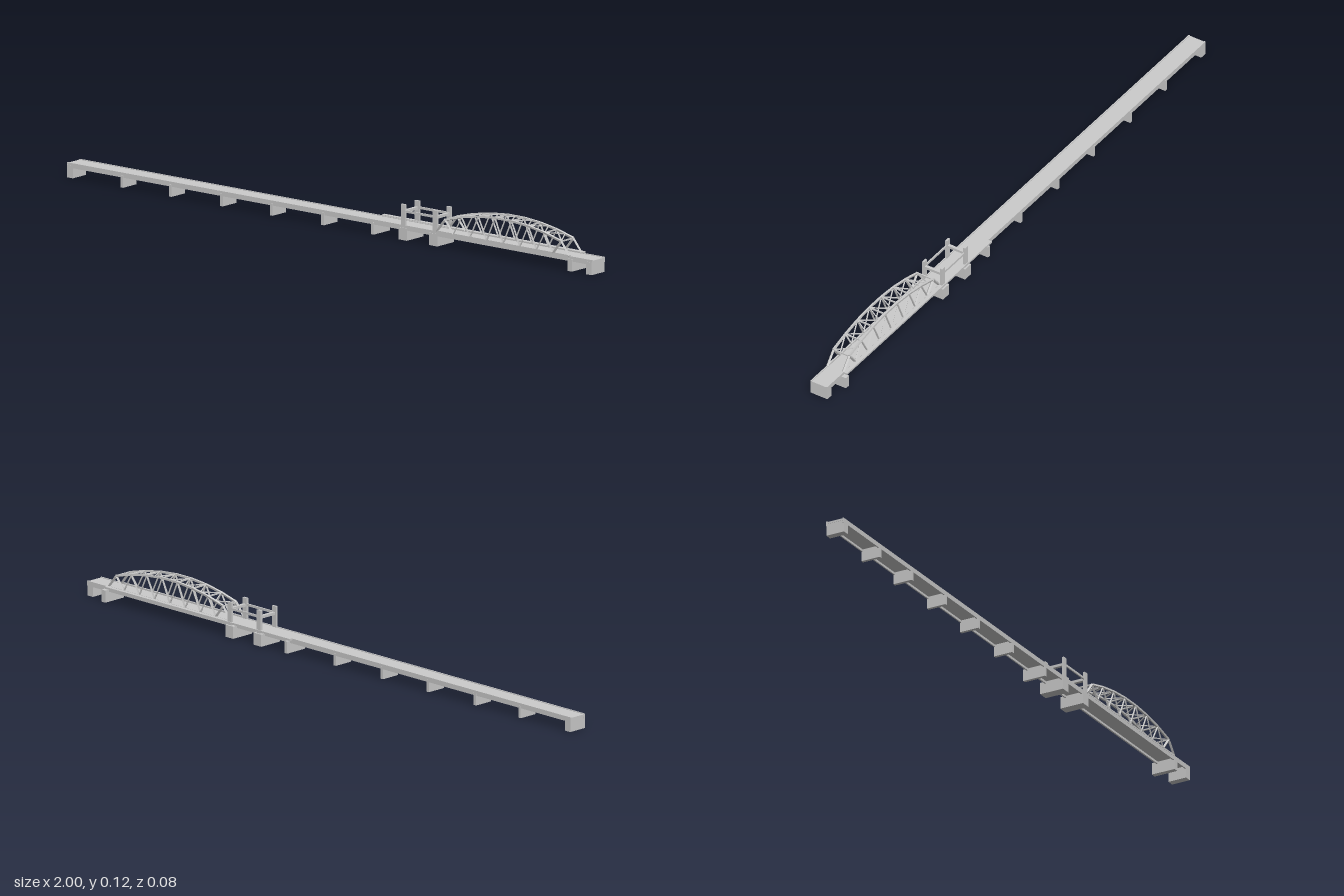
import * as THREE from 'three';

const mat = new THREE.MeshStandardMaterial({ color: 0xcccccc, flatShading: true });

// Box given by its low and high limits on each axis
function block(parent, name, [x0, x1], [y0, y1], [z0, z1]) {
  const m = new THREE.Mesh(new THREE.BoxGeometry(x1 - x0, y1 - y0, z1 - z0), mat);
  m.position.set((x0 + x1) / 2, (y0 + y1) / 2, (z0 + z1) / 2);
  m.name = name;
  parent.add(m);
}

// Square steel member between two points
function member(parent, name, a, b, t) {
  const d = b.clone().sub(a);
  const m = new THREE.Mesh(new THREE.BoxGeometry(t, t, d.length()), mat);
  m.position.copy(a).add(b).multiplyScalar(0.5);
  m.quaternion.setFromUnitVectors(new THREE.Vector3(0, 0, 1), d.normalize());
  m.name = name;
  parent.add(m);
}

function subgroup(parent, name) {
  const g = new THREE.Group();
  g.name = name;
  parent.add(g);
  return g;
}

const V = (x, y, z) => new THREE.Vector3(x, y, z);
const FRONT = 0.038, BACK = -0.021, TOP = 0.045;

export function createModel() {
  const root = new THREE.Group();
  root.name = 'liftBridge';

  // Deck with girders below and low kerbs along the edges
  const deck = subgroup(root, 'deck');
  block(deck, 'deckSlab', [-1, 1], [0.037, 0.043], [BACK, FRONT]);
  for (const z of [BACK, FRONT - 0.004]) {
    block(deck, 'kerb', [-1, 1], [0.043, TOP], [z, z + 0.004]);
    block(deck, 'girder', [-1, 1], [0.03, 0.037], [z, z + 0.004]);
  }

  // Walkway on brackets along the back
  const walkway = subgroup(root, 'walkway');
  block(walkway, 'walkwaySlab', [0.15, 0.915], [0.041, 0.047], [-0.034, BACK]);

  // Slim approach piers
  const piers = subgroup(root, 'piers');
  for (const x of [-0.79, -0.605, -0.41, -0.22, -0.025, 0.165]) {
    const back = x > 0.1 ? -0.034 : BACK - 0.001;
    block(piers, 'pier', [x - 0.005, x + 0.005], [0, 0.037], [back, 0.04]);
  }
  // Heavy piers under the towers and the truss end
  for (const [x, w] of [[0.28, 0.032], [0.396, 0.032], [0.917, 0.016]]) {
    block(piers, 'heavyPier', [x - w / 2, x + w / 2], [0, 0.037], [-0.037, 0.04]);
  }
  for (const s of [-1, 1]) {
    const x = s * 0.988;
    block(piers, 'abutment', [x - 0.011, x + 0.011], [0, 0.038], [BACK, 0.039]);
  }

  // Lifting span towers: four posts tied by beams
  const towers = subgroup(root, 'towers');
  for (const x of [0.28, 0.401]) {
    for (const z of [0.035, -0.028]) {
      block(towers, 'towerPost', [x - 0.008, x + 0.008], [0.037, 0.107], [z - 0.0035, z + 0.0035]);
    }
    block(towers, 'towerCrossBeam', [x - 0.005, x + 0.005], [0.081, 0.089], [-0.028, 0.035]);
  }
  for (const z of [0.035, -0.028]) {
    block(towers, 'towerLongBeam', [0.28, 0.401], [0.083, 0.09], [z - 0.002, z + 0.002]);
  }

  // Bowed truss span
  const truss = subgroup(root, 'truss');
  const X0 = 0.407, X1 = 0.913, N = 8, step = (X1 - X0) / N;
  const bottom = (i, z) => V(X0 + i * step, TOP, z);
  const top = (i, z) => {
    const u = (2 * i - N + 1) / (N - 1);
    return V(X0 + (i + 0.5) * step, 0.118 - 0.034 * u * u, z);
  };
  const zs = [FRONT - 0.002, BACK + 0.002];
  for (const z of zs) {
    member(truss, 'bottomChord', bottom(0, z), bottom(N, z), 0.005);
    for (let i = 0; i < N; i++) {
      const end = i === 0 || i === N - 1;
      member(truss, 'diagonal', bottom(i, z), top(i, z), end ? 0.006 : 0.004);
      member(truss, 'diagonal', top(i, z), bottom(i + 1, z), end ? 0.006 : 0.004);
      if (i < N - 1) member(truss, 'topChord', top(i, z), top(i + 1, z), 0.006);
    }
  }
  // Cross struts and zigzag bracing between the top chords
  for (let i = 0; i < N; i++) {
    member(truss, 'topStrut', top(i, zs[0]), top(i, zs[1]), 0.004);
    if (i === N - 1) break;
    const mid = top(i, 0).add(top(i + 1, 0)).multiplyScalar(0.5);
    member(truss, 'topBrace', top(i, zs[0]), V(mid.x, mid.y, zs[1]), 0.003);
    member(truss, 'topBrace', V(mid.x, mid.y, zs[1]), top(i + 1, zs[0]), 0.003);
  }
  return root;
}
